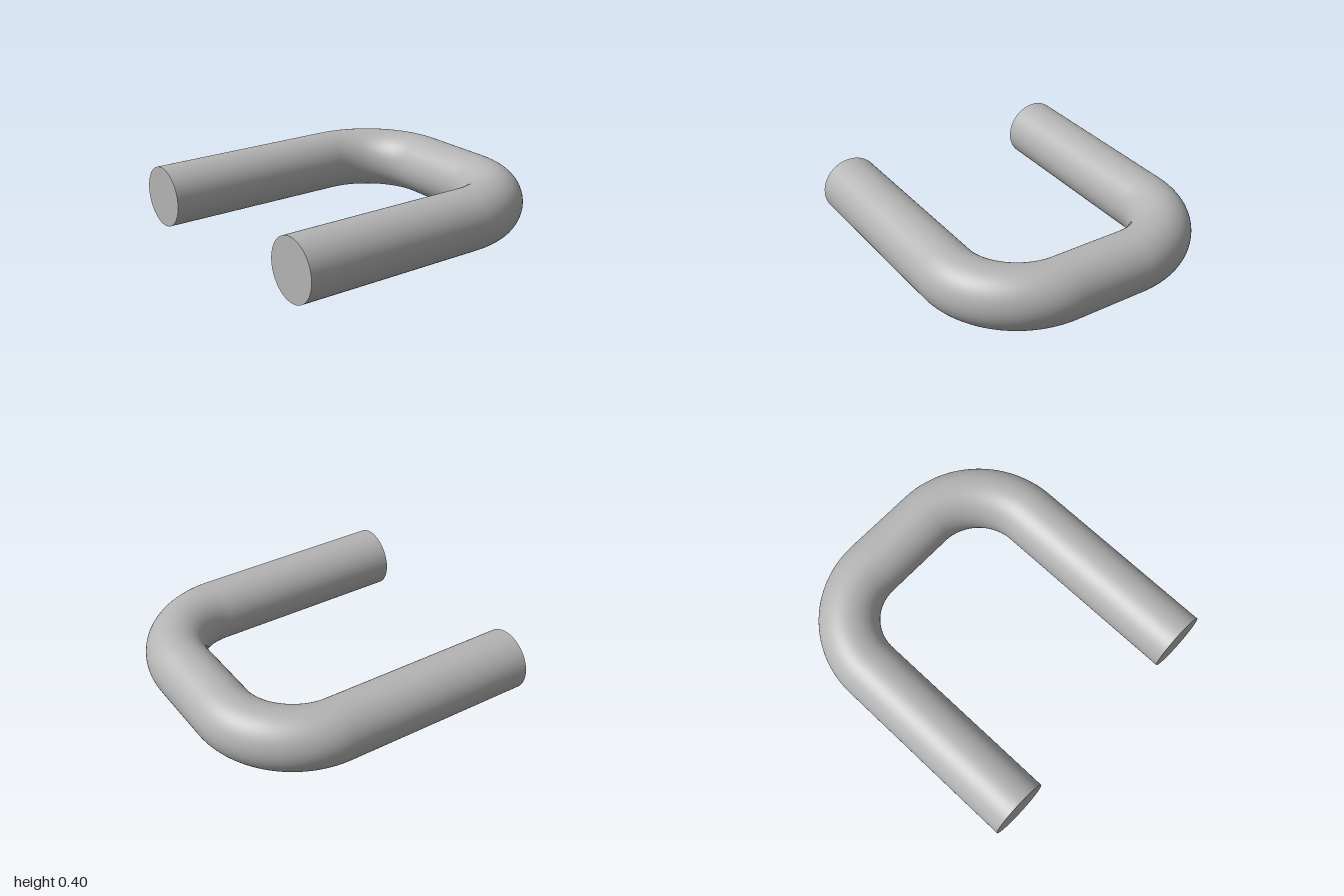
import * as THREE from 'three';

const TUBE = 0.2;   // bar radius
const BEND = 0.5;   // centreline radius of each corner
const SIDES = 64;

export function createModel() {
  const group = new THREE.Group();
  group.name = 'uShapedBar';
  const steel = new THREE.MeshStandardMaterial({ color: 0xb4b4b4 });
  steel.name = 'grey steel';

  const add = (name, geometry, x, z) => {
    const mesh = new THREE.Mesh(geometry, steel);
    mesh.name = name;
    mesh.position.set(x, TUBE, z);
    group.add(mesh);
  };

  // straight legs running forward, capped at the front, and the rounded corners
  for (const [side, s] of [['left', 1], ['right', -1]]) {
    const leg = new THREE.CylinderGeometry(TUBE, TUBE, 1.3, SIDES, 1, true).rotateX(Math.PI / 2);
    add(side + 'Leg', leg, s * 0.75, 0.35);
    add(side + 'EndCap', new THREE.CircleGeometry(TUBE, SIDES), s * 0.75, 1);

    const corner = new THREE.TorusGeometry(BEND, TUBE, SIDES, 40, Math.PI / 2).rotateX(-Math.PI / 2);
    if (s < 0) corner.rotateY(Math.PI / 2);
    add(side + 'Corner', corner, s * 0.25, -0.3);
  }

  // short crossbar joining the corners at the back
  const bar = new THREE.CylinderGeometry(TUBE, TUBE, 0.5, SIDES, 1, true).rotateZ(Math.PI / 2);
  add('crossbar', bar, 0, -0.8);

  return group;
}
